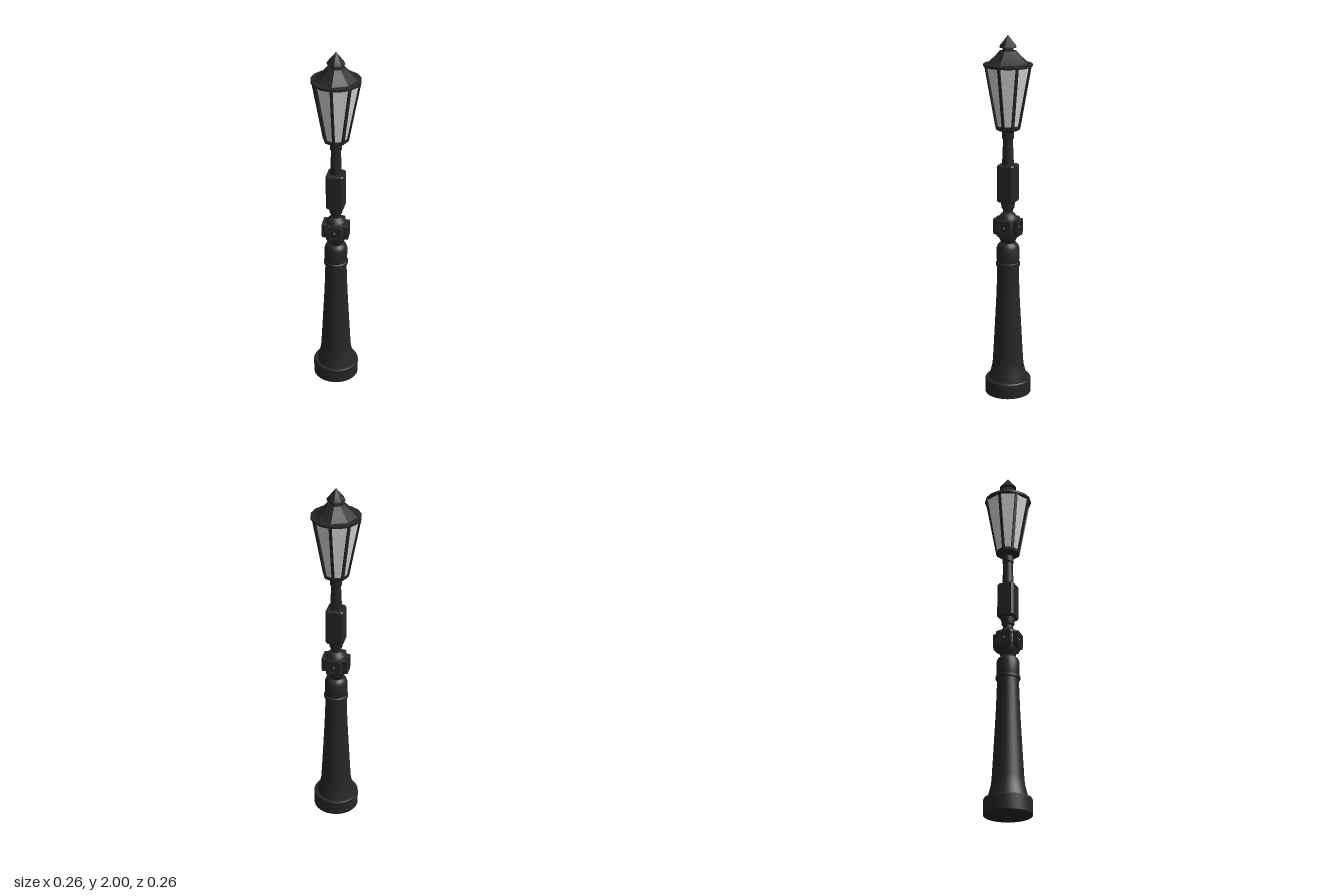
import * as THREE from 'three';
import { toCreasedNormals } from 'three/addons/utils/BufferGeometryUtils.js';

export function createModel() {
  const iron = new THREE.MeshStandardMaterial({ color: 0x262626 });
  iron.name = 'blackIron';
  const glass = new THREE.MeshStandardMaterial({ color: 0xd8d8d8 });
  glass.name = 'paleGlass';

  const model = new THREE.Group();
  model.name = 'streetLamp';

  function add(name, geometry, material = iron, parent = model) {
    const mesh = new THREE.Mesh(toCreasedNormals(geometry, 0.45), material);
    mesh.name = name;
    parent.add(mesh);
    return mesh;
  }
  // Turned part from [radius, height] pairs, bottom to top
  function turned(name, profile, sides = 32, material = iron) {
    const points = profile.map(([r, y]) => new THREE.Vector2(r, y));
    return add(name, new THREE.LatheGeometry(points, sides), material);
  }

  // Pedestal and tapering column
  turned('base', [[0, 0], [0.127, 0], [0.127, 0.08], [0.123, 0.086], [0, 0.086]]);
  turned('column', [[0.107, 0.085], [0.097, 0.125], [0.087, 0.165], [0.084, 0.2], [0.074, 0.38],
    [0.065, 0.55], [0.06, 0.68], [0.059, 0.745]]);
  turned('columnRing', [[0.058, 0.742], [0.066, 0.746], [0.066, 0.762], [0.06, 0.766]]);
  turned('columnCap', [[0.06, 0.765], [0.062, 0.78], [0.062, 0.845], [0.056, 0.862], [0.042, 0.876], [0, 0.878]]);

  // Knob with four framed bosses
  turned('knob', [[0.036, 0.872], [0.044, 0.89], [0.056, 0.915], [0.062, 0.95], [0.061, 0.99],
    [0.052, 1.02], [0.036, 1.038], [0.026, 1.045]], 16);
  const bossShape = new THREE.Shape([[-0.03, -0.045], [0.03, -0.045], [0.04, -0.03], [0.04, 0.038],
    [0.034, 0.045], [-0.034, 0.045], [-0.04, 0.038], [-0.04, -0.03]].map(([x, y]) => new THREE.Vector2(x, y)));
  const frameShape = bossShape.clone();
  frameShape.holes.push(new THREE.Path([[-0.02, -0.025], [-0.026, 0.028], [0.026, 0.028], [0.02, -0.025]]
    .map(([x, y]) => new THREE.Vector2(x, y))));
  for (let i = 0; i < 4; i++) {
    const boss = new THREE.Group();
    boss.name = 'boss' + (i + 1);
    boss.position.y = 0.965;
    boss.rotation.y = i * Math.PI / 2;
    add('bossBlock', new THREE.ExtrudeGeometry(bossShape, { depth: 0.04, bevelEnabled: false }), iron, boss)
      .position.z = 0.022;
    add('bossFrame', new THREE.ExtrudeGeometry(frameShape, { depth: 0.009, bevelEnabled: false }), iron, boss)
      .position.z = 0.062;
    add('bossStud', new THREE.SphereGeometry(0.012, 10, 6), iron, boss).position.z = 0.06;
    model.add(boss);
  }
  turned('neck', [[0.027, 1.035], [0.027, 1.06], [0.034, 1.068], [0.039, 1.1], [0.039, 1.115]], 16);

  // Square middle block with chamfered corners
  const a = 0.042, c = 0.035;
  const blockShape = new THREE.Shape([[a, -c], [a, c], [c, a], [-c, a], [-a, c], [-a, -c], [-c, -a], [c, -a]]
    .map(([x, y]) => new THREE.Vector2(x, y)));
  const blockGeometry = new THREE.ExtrudeGeometry(blockShape, {
    depth: 0.19, bevelSize: 0.006, bevelThickness: 0.008, bevelSegments: 1 });
  blockGeometry.rotateX(-Math.PI / 2);
  add('middleBlock', blockGeometry).position.y = 1.113;

  // Upper stem and lantern collar
  turned('stem', [[0.031, 1.305], [0.031, 1.33], [0.026, 1.45]], 16);
  turned('collar', [[0.026, 1.447], [0.032, 1.453], [0.032, 1.485], [0.045, 1.497]], 16);

  // Eight-sided lantern: floor, panes and corner bars
  turned('lanternFloor', [[0, 1.495], [0.052, 1.495], [0.067, 1.505], [0.069, 1.52], [0.06, 1.522], [0, 1.522]], 8);
  turned('panes', [[0.061, 1.515], [0.123, 1.84]], 8, glass);
  const low = [0.063, 1.51], high = [0.125, 1.842];
  const dr = high[0] - low[0], dy = high[1] - low[1];
  for (let i = 0; i < 8; i++) {
    const corner = new THREE.Group();
    corner.name = 'corner' + (i + 1);
    corner.rotation.y = i * Math.PI / 4;
    const bar = add('cornerBar', new THREE.BoxGeometry(0.014, Math.hypot(dr, dy), 0.01), iron, corner);
    bar.position.set(0, (low[1] + high[1]) / 2, (low[0] + high[0]) / 2);
    bar.rotation.x = Math.atan2(dr, dy);
    model.add(corner);
  }

  // Roof with a many-sided rim and a pointed finial
  turned('roofRim', [[0, 1.834], [0.122, 1.834], [0.131, 1.838], [0.131, 1.85], [0.114, 1.854], [0, 1.854]], 16);
  turned('roof', [[0.115, 1.852], [0.1, 1.863], [0.074, 1.887], [0.052, 1.91], [0.046, 1.918], [0, 1.919]], 8);
  turned('finial', [[0.033, 1.915], [0.031, 1.932], [0.049, 1.936], [0.047, 1.942], [0.022, 1.972], [0, 2]], 8);

  return model;
}
